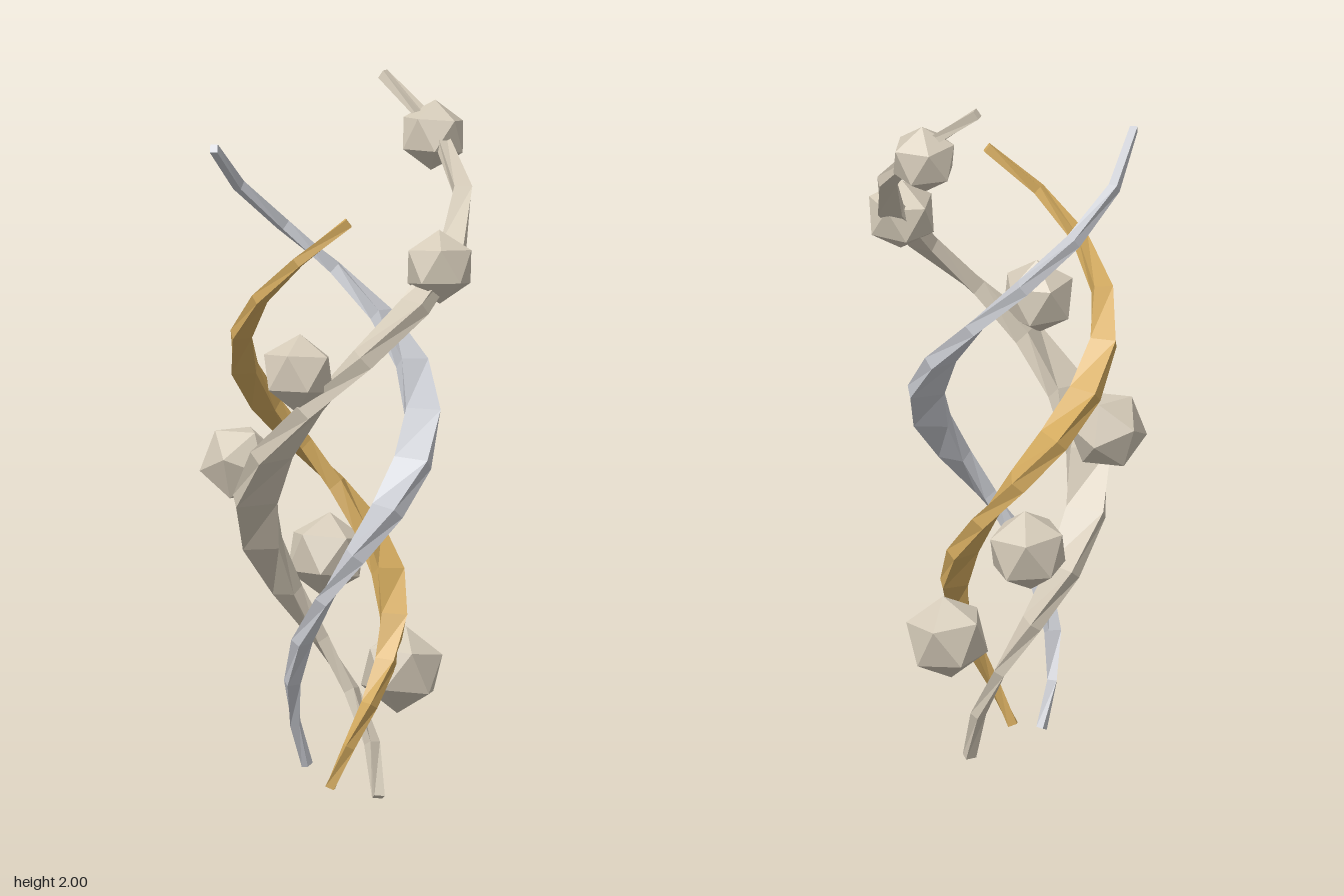
import * as THREE from 'three';

const rad = THREE.MathUtils.degToRad;

function material(name, color) {
  const m = new THREE.MeshStandardMaterial({ color });
  m.name = name;
  return m;
}

// Widening spiral around a vertical axis, t from 0 (bottom) to 1 (top)
function spiralPoint(s, t) {
  const angle = rad(s.start - s.sweep * t);
  const r = s.r0 + (s.r1 - s.r0) * t;
  return new THREE.Vector3(s.cx + r * Math.cos(angle), s.y0 + (s.y1 - s.y0) * t, s.cz + r * Math.sin(angle));
}

// Four-sided ribbon swept along the spiral, broad in the middle, thin at the ends
function ribbonGeometry(s, segments = 14) {
  const positions = [];
  const index = [];
  for (let i = 0; i <= segments; i++) {
    const t = i / segments;
    const p = spiralPoint(s, t);
    const tangent = spiralPoint(s, t + 0.02).sub(spiralPoint(s, t - 0.02)).normalize();
    const radial = new THREE.Vector3(p.x - s.cx, 0, p.z - s.cz).normalize();
    const across = new THREE.Vector3().crossVectors(tangent, radial).normalize();
    radial.crossVectors(across, tangent);
    const swell = Math.pow(Math.max(0, Math.sin(Math.PI * t)), 1.8);
    const w = (s.end + (s.width - s.end) * swell) / 2;
    const h = (0.026 + (s.thick - 0.026) * swell) / 2;
    for (const [a, b] of [[1, 1], [-1, 1], [-1, -1], [1, -1]]) {
      const c = p.clone().addScaledVector(radial, a * w).addScaledVector(across, b * h);
      positions.push(c.x, c.y, c.z);
    }
  }
  for (let i = 0; i < segments; i++) {
    for (let k = 0; k < 4; k++) {
      const a = i * 4 + k;
      const b = i * 4 + (k + 1) % 4;
      index.push(a, b, b + 4, a, b + 4, a + 4);
    }
  }
  // End caps
  const e = segments * 4;
  index.push(0, 2, 1, 0, 3, 2, e, e + 1, e + 2, e, e + 2, e + 3);
  const indexed = new THREE.BufferGeometry();
  indexed.setAttribute('position', new THREE.Float32BufferAttribute(positions, 3));
  indexed.setIndex(index);
  const g = indexed.toNonIndexed();
  g.computeVertexNormals(); // separate corners give flat facets
  return g;
}

export function createModel() {
  const group = new THREE.Group();
  group.name = 'spiralSculpture';
  const stone = material('warm stone', 0xd4cab8);
  const silver = material('silver', 0xc8cad0);
  const gold = material('gold', 0xd4ab5f);

  // Three intertwined ribbons
  const strands = [
    { name: 'stoneRibbon', mat: stone, cx: -0.04, cz: -0.007, start: 2, sweep: 415, r0: 0.118, r1: 0.395,
      y0: 0.005, y1: 1.988, end: 0.03, width: 0.122, thick: 0.048 },
    { name: 'silverRibbon', mat: silver, cx: -0.037, cz: -0.02, start: -128, sweep: 388, r0: 0.1, r1: 0.345,
      y0: 0.09, y1: 1.825, end: 0.021, width: 0.1, thick: 0.042 },
    { name: 'goldRibbon', mat: gold, cx: -0.044, cz: -0.014, start: 117, sweep: 375, r0: 0.101, r1: 0.32,
      y0: 0.05, y1: 1.668, end: 0.021, width: 0.1, thick: 0.042 },
  ];
  for (const s of strands) {
    const mesh = new THREE.Mesh(ribbonGeometry(s), s.mat);
    mesh.name = s.name;
    group.add(mesh);
  }

  // Faceted beads threaded on the stone ribbon: x, y, z, radius, yaw, face up
  const beads = [
    [0.145, 0.36, 0.0, 0.122, 0.2, false],
    [0.0, 0.66, -0.225, 0.118, 0.5, false],
    [-0.288, 0.945, -0.122, 0.115, 0.3, true],
    [-0.233, 1.24, 0.225, 0.11, 0.9, false],
    [0.172, 1.525, 0.25, 0.103, 1.3, false],
    [0.3, 1.83, -0.187, 0.098, 0.7, false],
  ];
  beads.forEach(([x, y, z, r, yaw, faceUp], i) => {
    const g = new THREE.IcosahedronGeometry(r, 0);
    if (faceUp) g.rotateX(-0.365);
    else g.rotateZ(0.5536 - 0.12);
    g.rotateY(yaw);
    const bead = new THREE.Mesh(g, stone);
    bead.position.set(x, y, z);
    bead.name = `bead${i + 1}`;
    group.add(bead);
  });
  return group;
}
